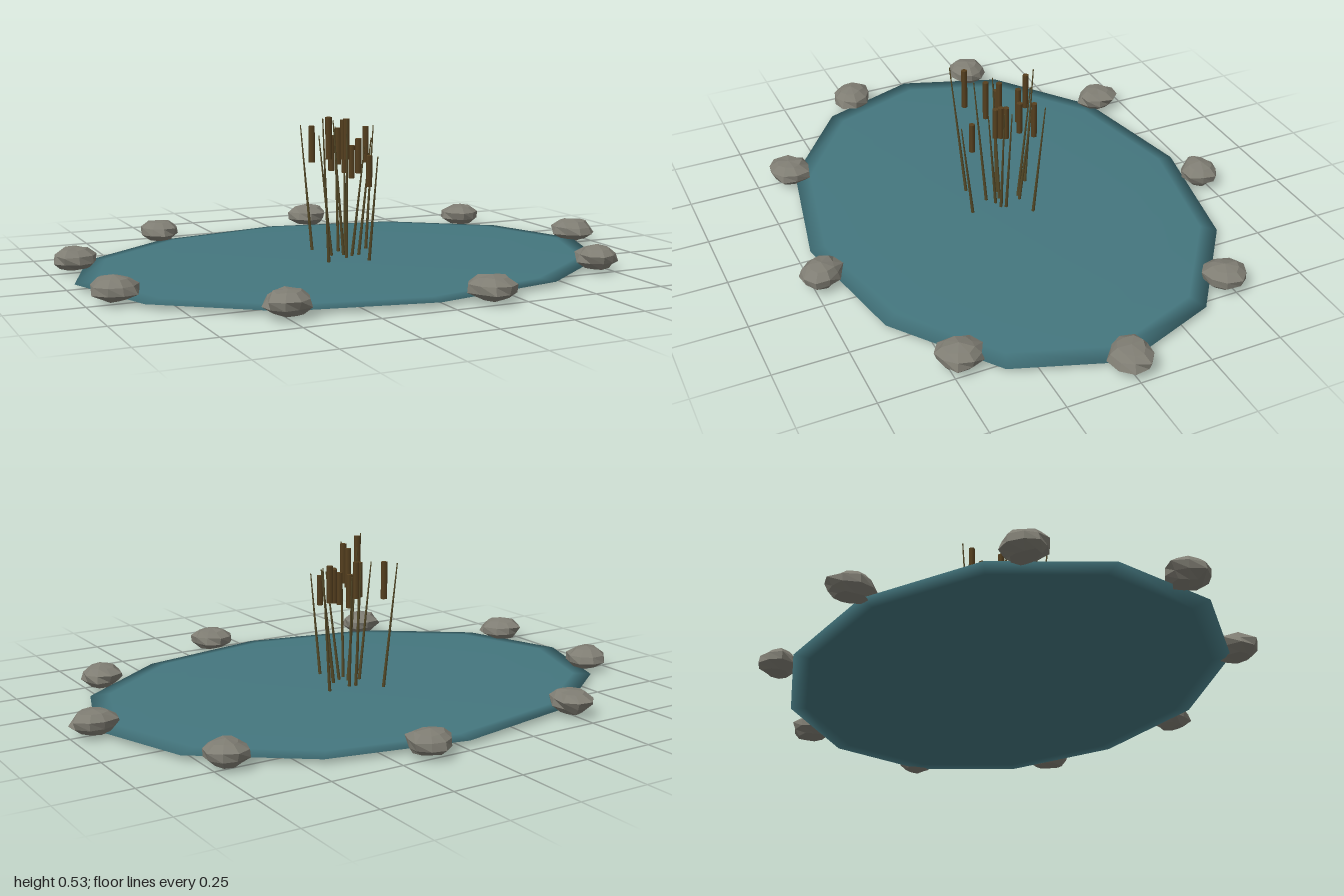
import * as THREE from 'three';
import { mergeVertices } from 'three/addons/utils/BufferGeometryUtils.js';

const material = (name, color) => {
  const m = new THREE.MeshStandardMaterial({ color });
  m.name = name;
  return m;
};

// Small seeded generator for the stone bumps
function seeded(seed) {
  let s = seed;
  return () => (s = (s * 16807) % 2147483647) / 2147483647;
}

// Squashed sphere with jittered vertices, faceted
function stoneGeometry(seed) {
  const rand = seeded(seed);
  const base = new THREE.SphereGeometry(1, 9, 5);
  base.deleteAttribute('uv');
  base.deleteAttribute('normal');
  const geo = mergeVertices(base, 1e-4);
  const p = geo.attributes.position;
  for (let i = 0; i < p.count; i++) {
    const k = 0.84 + 0.3 * rand();
    p.setXYZ(i, p.getX(i) * k * 0.08, p.getY(i) * (0.9 + 0.2 * rand()) * 0.041, p.getZ(i) * k * 0.072);
  }
  const flat = geo.toNonIndexed();
  flat.computeVertexNormals();
  return flat;
}

export function createModel() {
  const model = new THREE.Group();
  model.name = 'pond';
  const water = material('water teal', 0x44767e);
  const stone = material('stone grey', 0x7f7d73);
  const stalk = material('stalk olive', 0x554a28);
  const brown = material('seed head brown', 0x56401f);

  // Water: very flat twelve-sided ellipsoid
  const pool = new THREE.Mesh(new THREE.SphereGeometry(1, 12, 8), water);
  pool.name = 'water';
  pool.scale.set(0.945, 0.016, 0.708);
  pool.position.set(-0.028, 0.019, -0.004);
  model.add(pool);

  // Ring of nine stones around the rim
  const stones = new THREE.Group();
  stones.name = 'stones';
  for (let i = 0; i < 9; i++) {
    const a = (i / 9) * Math.PI * 2;
    const rock = new THREE.Mesh(stoneGeometry(101 + i * 7919), stone);
    rock.name = 'stone' + (i + 1);
    rock.position.set(-0.024 + 0.945 * Math.cos(a), 0.052, -0.007 + 0.735 * Math.sin(a));
    rock.rotation.y = i * 1.3;
    stones.add(rock);
  }
  model.add(stones);

  // Reeds: base x, base z, tip x, tip z, tip height
  const reeds = [
    [-0.093, -0.133, -0.118, -0.175, 0.476],
    [-0.02, -0.07, -0.013, -0.113, 0.472],
    [0.003, -0.065, 0.02, -0.107, 0.43],
    [0.09, -0.078, 0.13, -0.1, 0.472],
    [-0.072, -0.011, -0.115, -0.02, 0.455],
    [-0.03, -0.003, -0.072, 0.003, 0.507],
    [0.027, -0.003, 0.075, -0.003, 0.44],
    [0.019, 0.013, 0.064, 0.02, 0.44],
    [-0.01, 0.02, 0.02, 0.06, 0.42],
    [-0.04, 0.043, -0.055, 0.08, 0.515],
    [-0.125, 0.085, -0.163, 0.123, 0.528],
    [0.01, 0.117, 0.022, 0.16, 0.395],
  ];
  const up = new THREE.Vector3(0, 1, 0);
  reeds.forEach(([x, z, tx, tz, h], i) => {
    const reed = new THREE.Group();
    reed.name = 'reed' + (i + 1);
    // Leaning, tapered stalk
    const foot = new THREE.Vector3(x, 0.025, z);
    const tip = new THREE.Vector3(tx, h, tz);
    const dir = tip.clone().sub(foot);
    const stem = new THREE.Mesh(new THREE.CylinderGeometry(0.002, 0.006, dir.length(), 5), stalk);
    stem.name = 'stalk';
    stem.position.copy(foot).add(tip).multiplyScalar(0.5);
    stem.quaternion.setFromUnitVectors(up, dir.normalize());
    // Upright seed head
    const len = 0.27 * h;
    const head = new THREE.Mesh(new THREE.CylinderGeometry(0.011, 0.011, len, 6), brown);
    head.name = 'seedHead';
    head.position.set(x, h - len / 2, z);
    reed.add(stem, head);
    model.add(reed);
  });
  return model;
}
